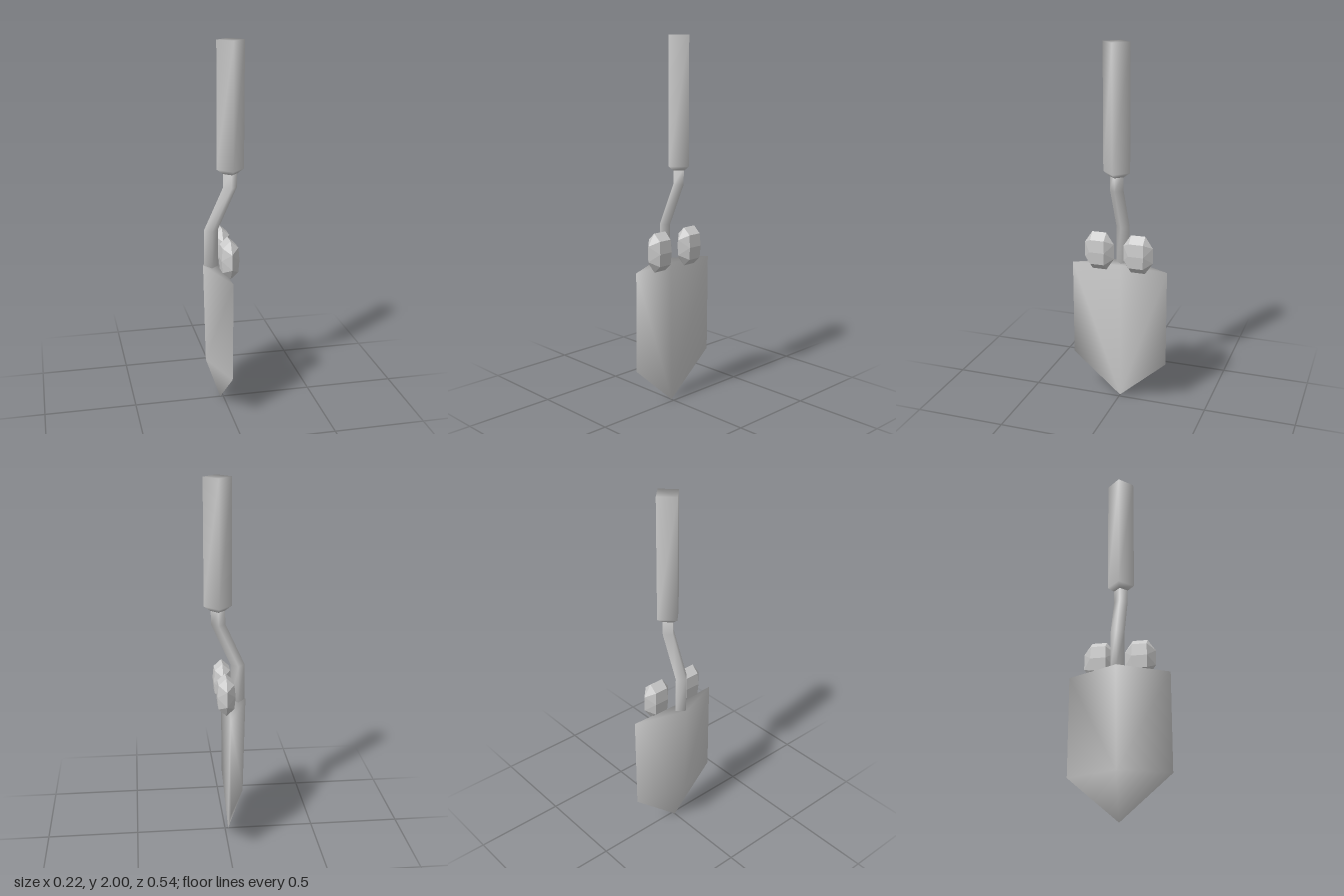
import * as THREE from 'three';
import { ConvexGeometry } from 'three/addons/geometries/ConvexGeometry.js';

const grey = new THREE.MeshStandardMaterial({ color: 0xcccccc });
const greyFlat = new THREE.MeshStandardMaterial({ color: 0xcccccc, flatShading: true });

function indexed(points, faces) {
  const g = new THREE.BufferGeometry();
  g.setAttribute('position', new THREE.Float32BufferAttribute(points.flat(), 3));
  g.setIndex(faces.flat());
  g.computeVertexNormals();
  return g;
}

// Diamond-sectioned bar through [centre x, y, half width], bottom to top, smooth shaded
function diamondBar(sections) {
  const points = [], faces = [];
  for (const [x, y, r] of sections) {
    points.push([x + r, y, 0], [x, y, -r], [x - r, y, 0], [x, y, r]);
  }
  for (let s = 0; s < sections.length - 1; s++) {
    for (let i = 0; i < 4; i++) {
      const a = s * 4 + i, b = s * 4 + (i + 1) % 4;
      faces.push([a, b, b + 4], [a, b + 4, a + 4]);
    }
  }
  const t = points.length - 4;
  faces.push([0, 2, 1], [0, 3, 2], [t, t + 1, t + 2], [t, t + 2, t + 3]);
  return indexed(points, faces);
}

// Solid wedge blade: folded back, nearly flat front, closing to a point
function bladeGeometry() {
  const points = [
    [-0.112, 0.8, 0], [-0.1, 0.24, 0], [-0.018, 0, 0], [-0.02, 0.79, 0],
    [-0.003, 0.785, 0.27], [-0.006, 0.24, 0.27],
    [-0.003, 0.785, -0.27], [-0.006, 0.24, -0.27],
  ];
  const [spineTop, spineLow, tip, frontTop] = [0, 1, 2, 3];
  const faces = [];
  for (const [top, low, mirrored] of [[4, 5, false], [6, 7, true]]) {
    const half = [
      [spineTop, spineLow, top], [spineLow, low, top], [spineLow, tip, low], // back
      [frontTop, top, tip], [top, low, tip], // front
      [spineTop, top, frontTop], // upper edge
    ];
    faces.push(...half.map(([a, b, c]) => (mirrored ? [a, c, b] : [a, b, c])));
  }
  return indexed(points, faces);
}

// Faceted foot rest: a chamfered gem with an octagonal outline
function footRest() {
  const points = [];
  const add = (x, y, z) => points.push(new THREE.Vector3(x, y, z));
  for (const u of [-1, 1]) {
    for (const v of [-1, 1]) {
      add(0, u * 0.106, v * 0.04);
      add(0, u * 0.042, v * 0.083);
      for (const s of [-1, 1]) add(s * 0.042, u * 0.068, v * 0.039);
    }
    for (const s of [-1, 1]) add(s * 0.048, 0, u * 0.042);
  }
  return new ConvexGeometry(points);
}

export function createModel() {
  const model = new THREE.Group();
  const add = (name, geometry, material) => {
    const mesh = new THREE.Mesh(geometry, material);
    mesh.name = name;
    model.add(mesh);
    return mesh;
  };

  // Grip with a short chamfer at its lower end
  add('grip', diamondBar([[0.038, 1.305, 0.039], [0.038, 1.33, 0.074], [0.038, 2, 0.074]]), grey);

  // Cranked shaft between grip and blade
  add('shaft', diamondBar([
    [-0.068, 0.795, 0.038], [-0.068, 1.0, 0.038], [0.036, 1.23, 0.038], [0.038, 1.32, 0.038],
  ]), grey);

  add('blade', bladeGeometry(), grey);

  // Pair of foot rests on the blade's upper edge
  for (const side of [-1, 1]) {
    add(side > 0 ? 'frontFootRest' : 'backFootRest', footRest(), greyFlat)
      .position.set(0.007, 0.874, side * 0.11);
  }
  return model;
}
